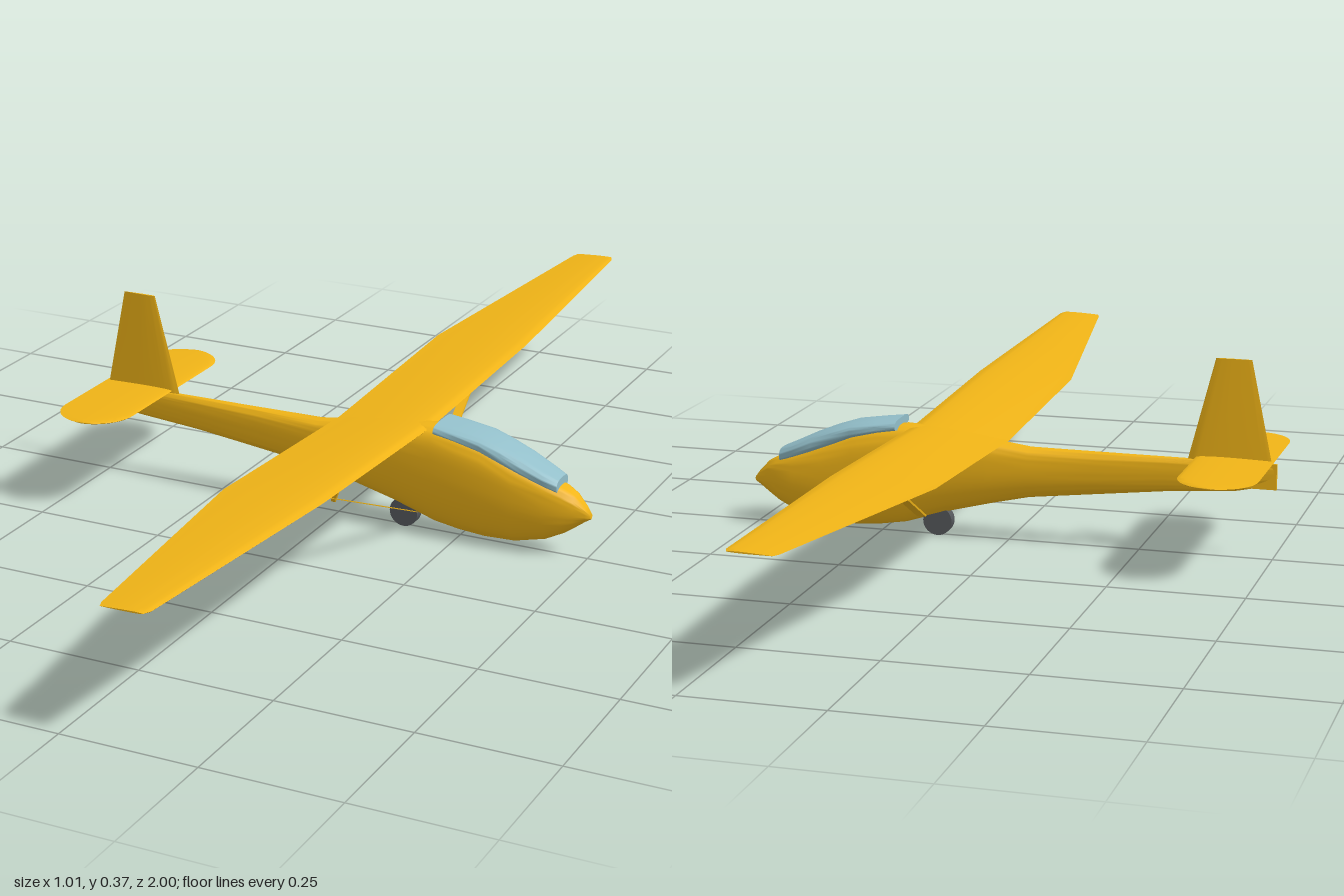
import * as THREE from 'three';
import { toCreasedNormals } from 'three/addons/utils/BufferGeometryUtils.js';

const paint = new THREE.MeshStandardMaterial({ color: 0xf0b417 });
const glass = new THREE.MeshStandardMaterial({ color: 0x93bfca });
const rubber = new THREE.MeshStandardMaterial({ color: 0x55585c });

// Skin a closed solid over rings of equal point count, capping both ends
function loft(rings, name, material) {
  const n = rings[0].length, pos = rings.flat(2), idx = [];
  for (let i = 0; i < rings.length - 1; i++) {
    for (let j = 0; j < n; j++) {
      const a = i * n + j, b = i * n + (j + 1) % n;
      idx.push(a, b, a + n, b, b + n, a + n);
    }
  }
  [0, rings.length - 1].forEach((r, end) => {
    const c = pos.length / 3;
    for (let k = 0; k < 3; k++) pos.push(rings[r].reduce((s, p) => s + p[k], 0) / n);
    for (let j = 0; j < n; j++) {
      const a = r * n + j, b = r * n + (j + 1) % n;
      idx.push(c, ...(end ? [a, b] : [b, a]));
    }
  });
  // Turn faces outward when the signed volume is negative
  const v = (i) => new THREE.Vector3().fromArray(pos, i * 3);
  let volume = 0;
  for (let i = 0; i < idx.length; i += 3) volume += v(idx[i]).dot(v(idx[i + 1]).cross(v(idx[i + 2])));
  if (volume < 0) idx.reverse();
  const g = new THREE.BufferGeometry();
  g.setAttribute('position', new THREE.Float32BufferAttribute(pos, 3));
  g.setIndex(idx);
  const mesh = new THREE.Mesh(toCreasedNormals(g, 0.8), material);
  mesh.name = name;
  return mesh;
}

// Egg-like body section: boxy above the widest line, rounder below
function bodyRing(x, top, bottom, half, split = 0.58, power = 3.2) {
  const mid = bottom + split * (top - bottom), ring = [];
  for (let i = 0; i < 40; i++) {
    const a = (i / 40) * Math.PI * 2, c = Math.cos(a), s = Math.sin(a);
    const e = 2 / (s > 0 ? power : 2);
    ring.push([x, mid + (s > 0 ? top - mid : mid - bottom) * Math.sign(s) * Math.abs(s) ** e,
      half * Math.sign(c) * Math.abs(c) ** e]);
  }
  return ring;
}

// Airfoil outline as [chord fraction, height]; lower side scaled for camber
function airfoil(thickness, lower = 1) {
  const pts = [], N = 14;
  for (let i = 0; i < 2 * N; i++) {
    const f = 0.5 - 0.5 * Math.cos((Math.PI * i) / N);
    const h = 1.48 * Math.sqrt(f) - 0.63 * f - 1.76 * f * f + 1.42 * f ** 3 - 0.49 * f ** 4;
    pts.push([f, thickness * Math.max(h, 0.03) * (i <= N ? 1 : -lower)]);
  }
  return pts;
}

// Flat strip between two points, wide along x
function strip(a, b, name, w, t) {
  const ring = ([x, y, z]) => [[x - w, y - t, z - t], [x + w, y - t, z - t], [x + w, y + t, z + t], [x - w, y + t, z + t]];
  return loft([ring(a), ring(b)], name, paint);
}

export function createModel() {
  const model = new THREE.Group();
  model.name = 'glider';

  // Fuselage: x, top, bottom, half width
  const body = [
    [-0.5, 0.18, 0.14, 0.003], [-0.43, 0.18, 0.125, 0.006], [-0.3, 0.18, 0.115, 0.011],
    [-0.17, 0.18, 0.1, 0.017], [-0.04, 0.18, 0.085, 0.025], [0.03, 0.189, 0.069, 0.031],
    [0.12, 0.205, 0.046, 0.038], [0.2, 0.21, 0.02, 0.042], [0.25, 0.203, 0.012, 0.0435],
    [0.3, 0.192, 0.008, 0.0435], [0.36, 0.167, 0.01, 0.041], [0.42, 0.145, 0.025, 0.036],
    [0.455, 0.132, 0.043, 0.029], [0.475, 0.121, 0.057, 0.021], [0.495, 0.1, 0.072, 0.011],
    [0.505, 0.087, 0.078, 0.004],
  ];
  model.add(loft(body.map((r) => bodyRing(...r)), 'fuselage', paint));

  // Canopy: shallow glazed cap over the cockpit
  const cap = [
    [0.21, 0.222, 0.2, 0.0435], [0.25, 0.217, 0.193, 0.0445], [0.3, 0.21, 0.18, 0.0445],
    [0.34, 0.197, 0.163, 0.043], [0.38, 0.181, 0.147, 0.0405], [0.42, 0.162, 0.132, 0.0355], [0.447, 0.15, 0.122, 0.028],
  ];
  model.add(loft(cap.map((r) => bodyRing(...r, 0.4)), 'canopy', glass));

  // Wing: span position, leading x/y, trailing x/y, thickness
  const stations = [
    [0, 0.19, 0.203, 0, 0.19, 0.015], [0.45, 0.19, 0.219, 0, 0.211, 0.012],
    [0.985, 0.166, 0.239, 0.078, 0.237, 0.007], [1, 0.16, 0.24, 0.084, 0.238, 0.003],
  ];
  for (const side of [1, -1]) {
    const wing = new THREE.Group();
    wing.name = side > 0 ? 'frontFacingWing' : 'rearFacingWing';
    wing.add(loft(stations.map(([z, lx, ly, tx, ty, t]) => airfoil(t, 0.75).map(([f, h]) =>
      [lx + (tx - lx) * f, ly + (ty - ly) * f + h, side * z])), 'wingPanel', paint));
    // Lift strut and the short brace above it
    wing.add(strip([0.164, 0.04, side * 0.025], [0.114, 0.212, side * 0.41], 'liftStrut', 0.009, 0.0015));
    wing.add(strip([0.131, 0.153, side * 0.29], [0.15, 0.205, side * 0.293], 'juryStrut', 0.004, 0.0015));
    model.add(wing);
  }

  // Tailplane with semicircular tips
  const tail = [], R = 0.0725;
  for (let i = 0; i <= 24; i++) {
    const a = -Math.PI / 2 + (Math.PI * i) / 24;
    const half = Math.max(R * Math.cos(a), 0.004);
    const z = R * Math.sin(a) + (i < 12 ? -0.152 : 0.152);
    const section = (zz) => airfoil(0.0065 * Math.sqrt(half / R)).map(([f, h]) => [-0.4275 + half * (1 - 2 * f), 0.184 + h, zz]);
    if (i === 12) tail.push(section(-0.152));
    tail.push(section(z));
  }
  model.add(loft(tail, 'tailplane', paint));

  // Fin: height, leading x, trailing x, thickness
  const fin = [[0.17, -0.338, -0.496, 0.006], [0.18, -0.34, -0.495, 0.006], [0.37, -0.389, -0.455, 0.004]];
  model.add(loft(fin.map(([y, lx, tx, t]) => airfoil(t).map(([f, h]) => [lx + (tx - lx) * f, y, h])), 'fin', paint));

  // Lower rudder behind the tail end
  const rudder = new THREE.Mesh(new THREE.BoxGeometry(0.055, 0.048, 0.006), paint);
  rudder.position.set(-0.4775, 0.156, 0);
  rudder.name = 'lowerRudder';
  model.add(rudder);

  // Landing wheel
  const wheel = new THREE.Mesh(new THREE.CylinderGeometry(0.028, 0.028, 0.02, 32), rubber);
  wheel.rotation.x = Math.PI / 2;
  wheel.position.set(0.138, 0.028, 0);
  wheel.name = 'landingWheel';
  model.add(wheel);

  return model;
}
